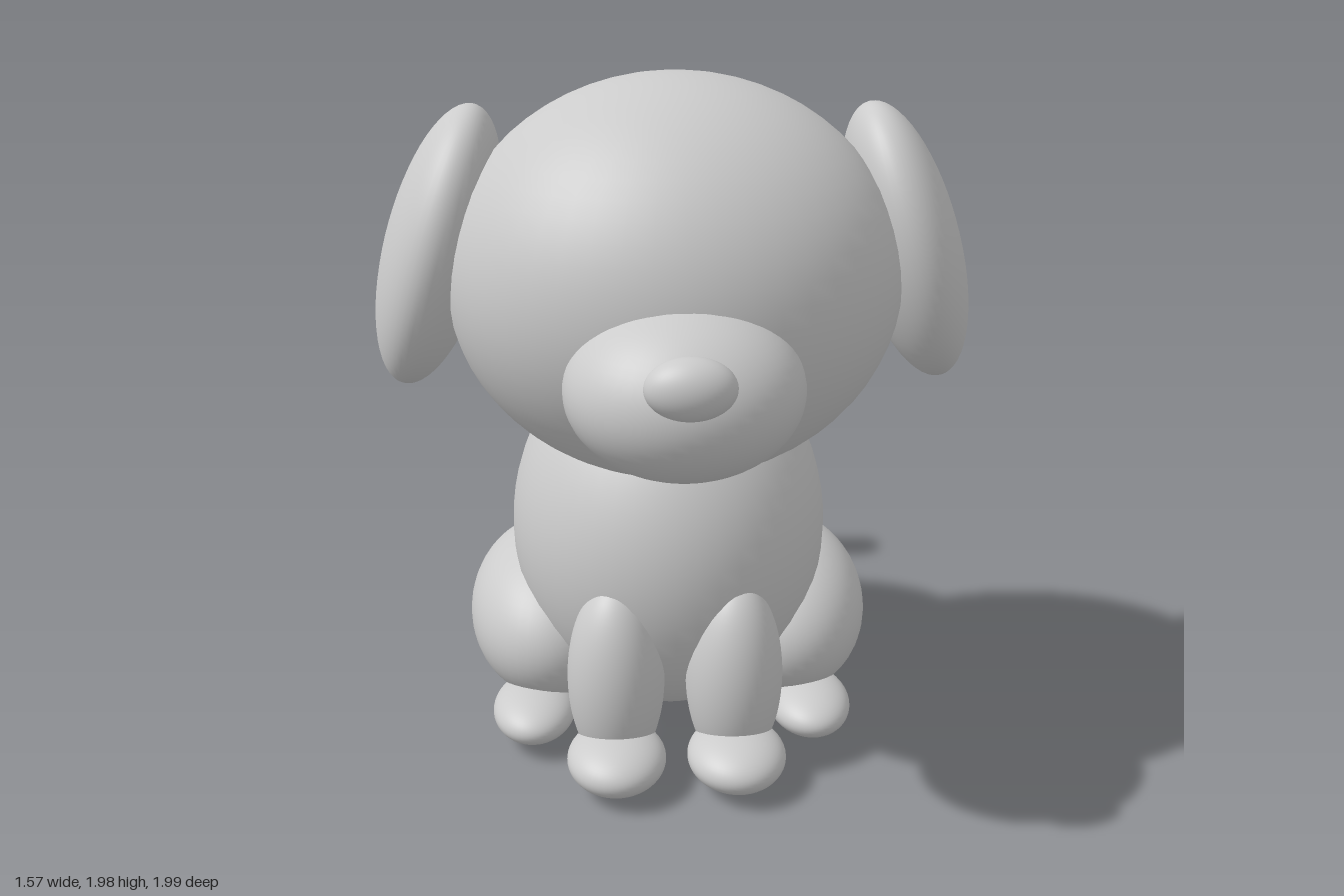
import * as THREE from 'three';

const material = new THREE.MeshStandardMaterial({ color: 0xcccccc });
const openMaterial = new THREE.MeshStandardMaterial({ color: 0xcccccc, side: THREE.DoubleSide });

// Smooth ellipsoid given its centre and half sizes
function ellipsoid(name, center, radii, tilt = 0) {
  const geometry = new THREE.SphereGeometry(1, 48, 32).scale(...radii);
  const mesh = new THREE.Mesh(geometry, material);
  mesh.name = name;
  mesh.position.set(...center);
  mesh.rotation.z = tilt;
  return mesh;
}

// Curved tail, thick at the base and thinner toward a rounded tip
function createTail() {
  const tail = new THREE.Group();
  tail.name = 'tail';
  const path = new THREE.CatmullRomCurve3([
    [0.36, -0.57], [0.445, -0.72], [0.58, -0.86], [0.77, -0.925], [0.9, -0.9], [0.985, -0.875],
  ].map(([y, z]) => new THREE.Vector3(0, y, z)));
  const baseRadius = 0.09, tipRadius = 0.066, rings = 40, sides = 24;

  const geometry = new THREE.TubeGeometry(path, rings, 1, sides, false);
  const position = geometry.attributes.position;
  const v = new THREE.Vector3();
  for (let i = 0; i <= rings; i++) {
    const center = path.getPointAt(i / rings);
    const radius = THREE.MathUtils.lerp(baseRadius, tipRadius, Math.min(1, (i / rings) * 1.3));
    for (let j = 0; j <= sides; j++) {
      const k = i * (sides + 1) + j;
      v.fromBufferAttribute(position, k).sub(center).multiplyScalar(radius).add(center);
      position.setXYZ(k, v.x, v.y, v.z);
    }
  }
  const tube = new THREE.Mesh(geometry, openMaterial);
  tube.name = 'tailTube';

  // Flat disc closing the base
  const base = new THREE.Mesh(new THREE.CircleGeometry(baseRadius, sides), openMaterial);
  base.name = 'tailBase';
  base.position.copy(path.getPointAt(0));
  base.lookAt(base.position.clone().sub(path.getTangentAt(0)));

  tail.add(tube, base, ellipsoid('tailTip', [0, 0.985, -0.875], [0.068, 0.068, 0.068]));
  return tail;
}

export function createModel() {
  const model = new THREE.Group();
  model.name = 'sittingPuppy';

  // Body and head on the centre line
  model.add(
    ellipsoid('body', [0, 0.6, -0.16], [0.47, 0.57, 0.52]),
    ellipsoid('head', [0, 1.457, 0.217], [0.59, 0.523, 0.543]),
    ellipsoid('muzzle', [0, 1.312, 0.69], [0.285, 0.21, 0.265]),
    ellipsoid('nose', [0, 1.4, 0.937], [0.103, 0.072, 0.063]),
    createTail(),
  );

  // Mirrored ears, legs and feet
  for (const [side, s] of [['left', 1], ['right', -1]]) {
    model.add(
      ellipsoid(side + 'Ear', [s * 0.614, 1.527, 0.148], [0.138, 0.381, 0.258], s * 0.293),
      ellipsoid(side + 'FrontLeg', [s * 0.168, 0.3, 0.27], [0.138, 0.295, 0.145]),
      ellipsoid(side + 'FrontFoot', [s * 0.17, 0.097, 0.37], [0.14, 0.08, 0.16]),
      ellipsoid(side + 'Haunch', [s * 0.36, 0.285, -0.212], [0.255, 0.255, 0.38]),
      ellipsoid(side + 'HindFoot', [s * 0.412, 0.097, 0.095], [0.123, 0.074, 0.17]),
    );
  }
  return model;
}
